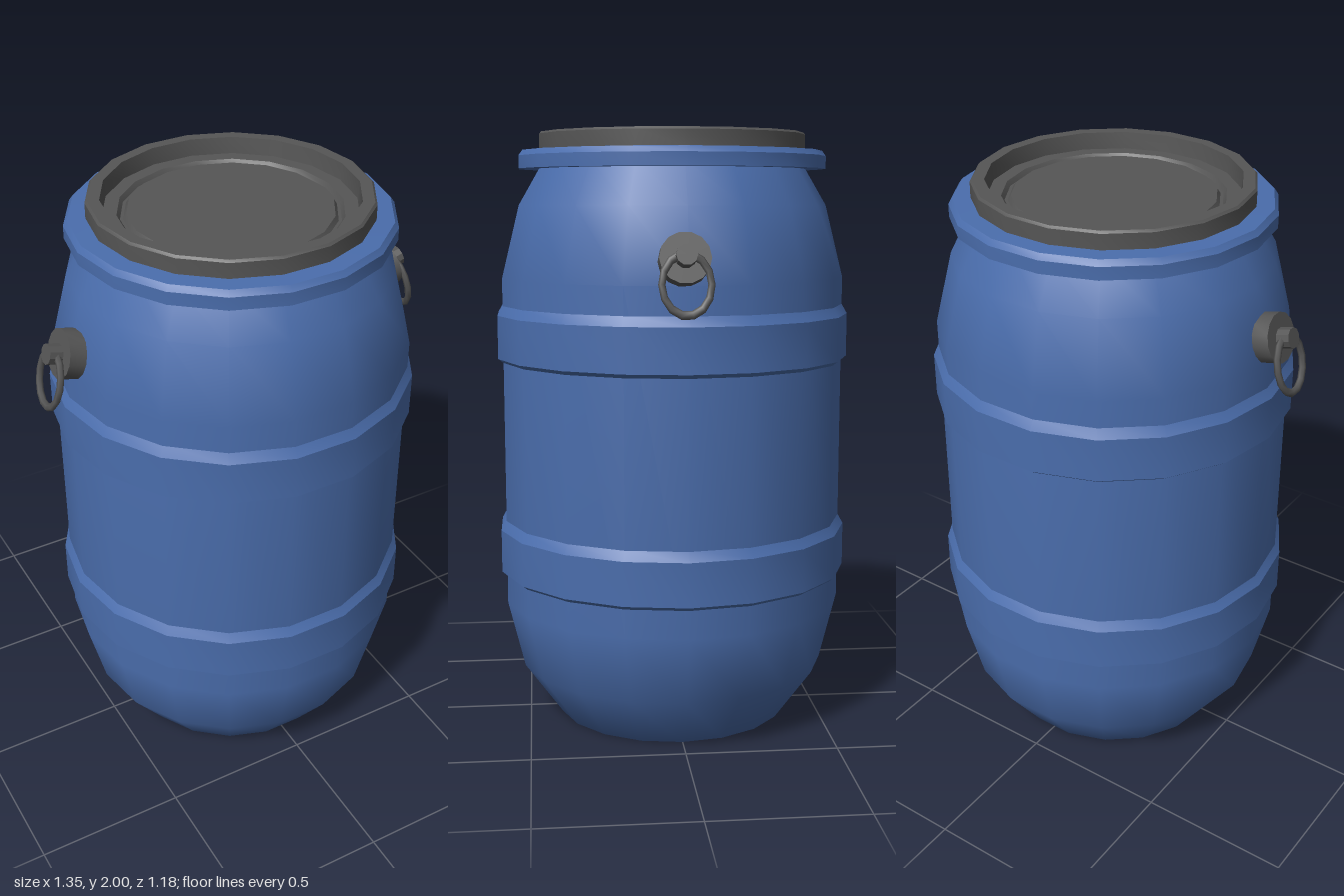
import * as THREE from 'three';
import { toCreasedNormals } from 'three/addons/utils/BufferGeometryUtils.js';

const blue = new THREE.MeshStandardMaterial({ color: 0x4a6dac });
blue.name = 'blue plastic';
const grey = new THREE.MeshStandardMaterial({ color: 0x555555 });
grey.name = 'dark grey';

const SIDES = 18;

// Turned part with a corner on the x axis; creased parts keep sharp edges.
function turned(name, material, profile, creased) {
  const points = profile.map(([r, y]) => new THREE.Vector2(r, y));
  let geometry = new THREE.LatheGeometry(points, SIDES, Math.PI / 2);
  if (creased) geometry = toCreasedNormals(geometry, 0.4);
  const mesh = new THREE.Mesh(geometry, material);
  mesh.name = name;
  return mesh;
}

function createHandle(name, side) {
  const handle = new THREE.Group();
  handle.name = name;

  // Round mount and small knob, leaning with the shoulder of the barrel
  const addStud = (partName, radius, length, x, y, sides) => {
    const geometry = toCreasedNormals(new THREE.CylinderGeometry(radius, radius, length, sides), 0.6);
    geometry.rotateZ(-Math.PI / 2);
    const mesh = new THREE.Mesh(geometry, grey);
    mesh.name = partName;
    mesh.position.set(x, y, 0);
    mesh.rotation.z = 0.27;
    handle.add(mesh);
  };
  addStud('handleMount', 0.08, 0.056, 0.58, 1.6, 14);
  addStud('handleKnob', 0.033, 0.05, 0.625, 1.612, 10);

  // Oval pull ring hanging from the knob
  const ringGeometry = new THREE.TorusGeometry(0.075, 0.011, 6, 14);
  ringGeometry.rotateY(Math.PI / 2);
  ringGeometry.scale(1, 1.25, 1);
  const ring = new THREE.Mesh(ringGeometry, grey);
  ring.name = 'pullRing';
  ring.position.set(0.643, 1.528, 0);
  ring.rotation.z = 0.24;
  handle.add(ring);

  handle.position.z = 0.015;
  handle.rotation.y = side > 0 ? 0 : Math.PI;
  return handle;
}

export function createModel() {
  const model = new THREE.Group();
  model.name = 'barrel';

  const barrel = new THREE.Group();
  barrel.name = 'barrelBody';
  barrel.position.x = 0.004;
  model.add(barrel);

  // Rounded base, straight middle and tapering shoulder
  barrel.add(turned('shell', blue, [
    [0, 0], [0.395, 0], [0.525, 0.18], [0.582, 0.41], [0.582, 1.52], [0.522, 1.76], [0.44, 1.9],
  ], false));

  // Two raised hoops
  for (const [name, y] of [['lowerHoop', 0.505], ['upperHoop', 1.237]]) {
    barrel.add(turned(name, blue, [
      [0.58, y], [0.6, y + 0.015], [0.6, y + 0.16], [0.58, y + 0.195],
    ], true));
  }

  // Flange around the mouth
  barrel.add(turned('flange', blue, [
    [0.42, 1.88], [0.52, 1.88], [0.52, 1.922], [0.507, 1.94], [0.4, 1.945],
  ], true));

  // Lid with a raised edge, recessed floor and a ring groove
  barrel.add(turned('lid', grey, [
    [0.45, 1.94], [0.45, 1.993], [0.443, 2], [0.405, 2], [0.4, 1.945], [0.355, 1.945],
    [0.345, 1.93], [0.335, 1.93], [0.325, 1.945], [0, 1.945],
  ], true));

  model.add(createHandle('leftHandle', 1), createHandle('rightHandle', -1));
  return model;
}
